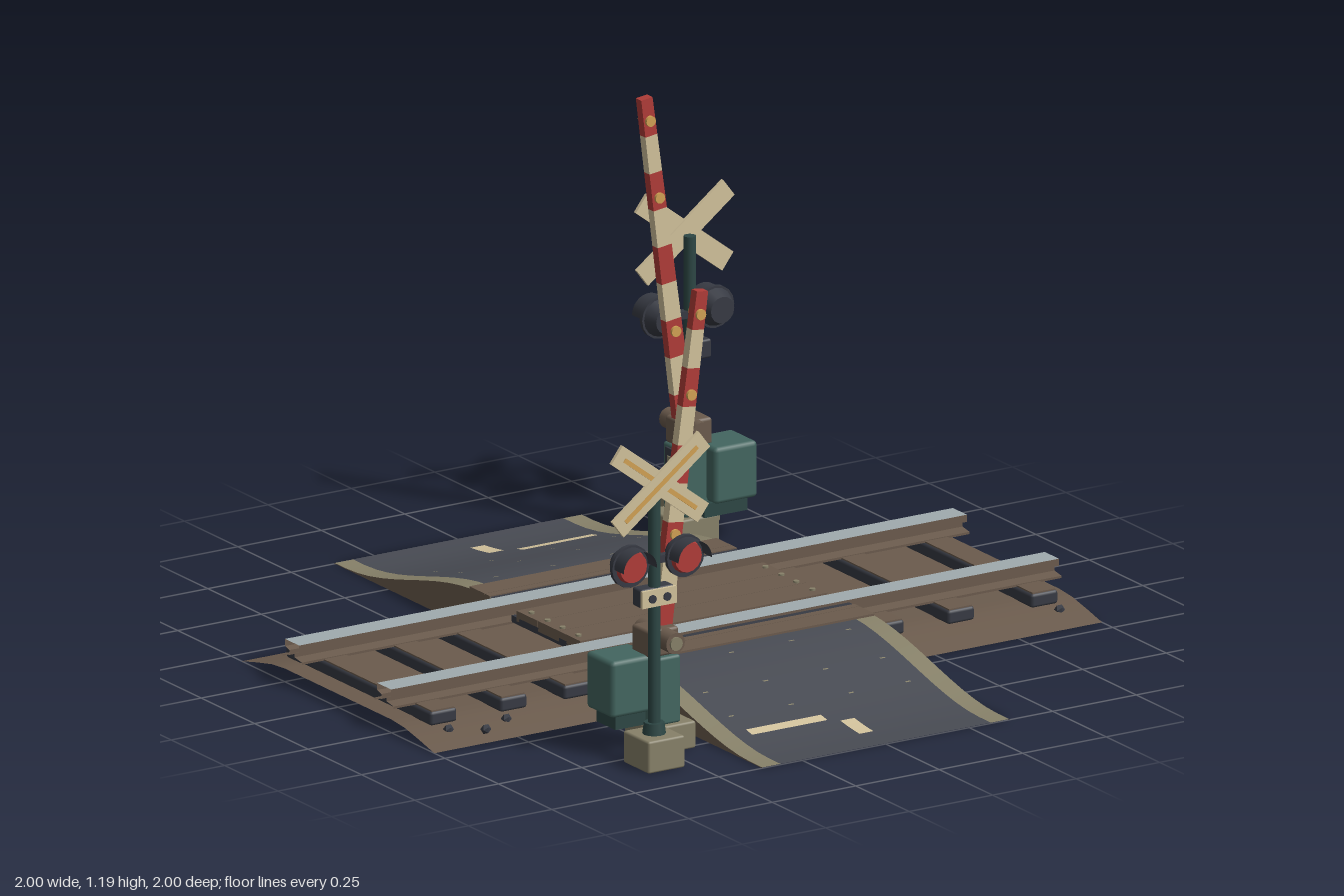
import * as THREE from 'three';
import { RoundedBoxGeometry } from 'three/addons/geometries/RoundedBoxGeometry.js';

const mat = (name, color, side = THREE.FrontSide) => {
  const m = new THREE.MeshStandardMaterial({ color, side });
  m.name = name;
  return m;
};

export function createModel() {
  const D = THREE.DoubleSide;
  const earth = mat('earth brown', 0x6b5b4d, D);
  const asphalt = mat('asphalt', 0x484b53, D);
  const stone = mat('concrete', 0x878169, D);
  const steel = mat('rail steel', 0xa0abae, D);
  const dark = mat('dark metal', 0x373a43, D);
  const cream = mat('cream paint', 0xd2c29c, D);
  const red = mat('signal red', 0xb03c38);
  const green = mat('cabinet green', 0x436660);
  const pole = mat('mast green', 0x2d4745);
  const amber = mat('amber', 0xd2a254);

  const model = new THREE.Group();
  model.name = 'levelCrossing';

  const add = (parent, name, geo, material, x = 0, y = 0, z = 0) => {
    const m = new THREE.Mesh(geo, material);
    m.name = name;
    m.position.set(x, y, z);
    parent.add(m);
    return m;
  };
  // Box given by its lower and upper corners
  const block = (parent, name, material, a, b, radius = 0) => {
    const s = b.map((v, i) => v - a[i]);
    const geo = radius ? new RoundedBoxGeometry(...s, 1, radius) : new THREE.BoxGeometry(...s);
    return add(parent, name, geo, material, ...a.map((v, i) => (v + b[i]) / 2));
  };
  // Cylinder lying along z, wide end set by r0 at the back and r1 at the front
  const rod = (parent, name, material, x, y, z0, z1, r0, r1 = r0, sides = 16) =>
    add(parent, name, new THREE.CylinderGeometry(r1, r0, z1 - z0, sides).rotateX(Math.PI / 2), material, x, y, (z0 + z1) / 2);
  // Open sheet: a [z, y] profile swept along x
  const sheet = (parent, name, material, pts, x0, x1, flat = false) => {
    let geo = new THREE.PlaneGeometry(1, 1, 1, pts.length - 1);
    const p = geo.attributes.position;
    pts.forEach(([z, y], i) => {
      p.setXYZ(i * 2, x0, y, z);
      p.setXYZ(i * 2 + 1, x1, y, z);
    });
    if (flat) geo = geo.toNonIndexed();
    geo.computeVertexNormals();
    return add(parent, name, geo, material);
  };

  // Track bed
  sheet(model, 'trackBed', earth,
    [[-0.45, 0], [-0.38, 0.016], [-0.31, 0.03], [-0.25, 0.035], [0.25, 0.035], [0.31, 0.03], [0.38, 0.016], [0.45, 0]], -1, 1);

  // Sleepers with weathered tops
  for (const x of [-0.9, -0.69, -0.5, 0.44, 0.65, 0.9]) {
    block(model, 'sleeper', dark, [x - 0.04, 0.03, -0.34], [x + 0.04, 0.067, 0.34], 0.008);
    block(model, 'sleeperTop', earth, [x - 0.034, 0.066, -0.334], [x + 0.034, 0.07, 0.334]);
  }

  // Rails
  for (const z of [-0.215, 0.215]) {
    const half = [[0.033, 0.114], [0.033, 0.095], [0.012, 0.09], [0.012, 0.077], [0.045, 0.072], [0.045, 0.066]];
    sheet(model, 'railSide', earth, half.map(([w, y]) => [z + w, y]), -1, 1, true);
    sheet(model, 'railSide', earth, half.map(([w, y]) => [z - w, y]).reverse(), -1, 1, true);
    sheet(model, 'railHead', steel, [[z - 0.033, 0.114], [z + 0.033, 0.114]], -1, 1);
  }

  // Crossing deck between the rails
  block(model, 'deckEdge', dark, [-0.37, 0.07, -0.172], [0.37, 0.088, 0.172]);
  for (let i = 0; i < 3; i++) {
    const z = -0.15 + i * 0.1;
    block(model, 'deckPlank', earth, [-0.37, 0.078, z], [0.37, 0.106, z + 0.0985]);
  }
  for (const x of [-0.35, 0.35]) for (const z of [-0.11, -0.035, 0.035, 0.11])
    add(model, 'deckBolt', new THREE.CylinderGeometry(0.008, 0.008, 0.006, 8), stone, x, 0.108, z);

  // Loose stones
  for (const [x, z] of [[-0.62, -0.4], [-0.59, -0.375], [0.53, -0.39], [0.72, -0.39], [-0.9, 0.36], [-0.82, 0.41], [-0.73, 0.365], [-0.44, 0.37], [0.93, 0.36]])
    add(model, 'looseStone', new THREE.IcosahedronGeometry(0.014, 0), dark, x, 0.022, z);

  // Road height along z, and a strip of road surface
  const roadY = (z) => 0.002 + 0.105 * (1 - THREE.MathUtils.smoothstep(z, 0.33, 0.95));
  const strip = (z0, z1, lift = 0, n = 14) => Array.from({ length: n + 1 }, (_, i) => {
    const z = z0 + (z1 - z0) * i / n;
    return [z, roadY(z) + lift];
  });

  const buildSide = () => {
    const side = new THREE.Group();
    side.name = 'crossingSide';

    // Approach road
    sheet(side, 'roadSurface', asphalt, strip(0.25, 1), -0.315, 0.315);
    for (const s of [-1, 1]) {
      sheet(side, 'roadShoulder', stone, strip(0.25, 1), Math.min(s * 0.315, s * 0.37), Math.max(s * 0.315, s * 0.37));
      const shape = new THREE.Shape([[0.25, 0], ...strip(0.25, 1), [1, 0]].map(([z, y]) => new THREE.Vector2(-z, y)));
      add(side, 'roadSkirt', new THREE.ShapeGeometry(shape).rotateY(Math.PI / 2), earth, s * 0.37);
    }
    sheet(side, 'approachGap', dark, [[0.25, 0.108], [0.275, 0.108]], -0.37, 0.37);
    for (const z of [0.275, 0.3])
      block(side, 'approachPlank', earth, [-0.37, 0.1, z], [0.37, 0.111, z === 0.3 ? 0.37 : 0.298]);

    // Road paint and small surface studs
    sheet(side, 'stopLine', cream, strip(0.775, 0.805, 0.003, 2), -0.275, -0.05);
    sheet(side, 'centreLine', cream, strip(0.82, 0.91, 0.003, 4), -0.021, 0.021);
    for (const z of [0.42, 0.58, 0.7]) for (const x of [-0.28, -0.1, 0.08, 0.25])
      sheet(side, 'roadStud', stone, strip(z, z + 0.005, 0.002, 1), x, x + 0.015);

    // Signal mast
    const mx = -0.585, mz = 0.83;
    block(side, 'mastFooting', stone, [-0.64, 0, 0.77], [-0.53, 0.085, 0.89], 0.006);
    add(side, 'mast', new THREE.CylinderGeometry(0.016, 0.016, 0.67, 12), pole, mx, 0.415, mz);
    add(side, 'mastCollar', new THREE.CylinderGeometry(0.026, 0.03, 0.03, 12), pole, mx, 0.1, mz);

    // Crossed warning boards
    [-0.65, 0.65].forEach((angle, i) => {
      const board = new THREE.Group();
      board.name = 'warningBoard';
      board.position.set(mx, 0.752, 0.854 + i * 0.005);
      board.rotation.z = angle;
      add(board, 'boardPlate', new THREE.BoxGeometry(0.325, 0.056, 0.01), cream);
      add(board, 'boardStripe', new THREE.BoxGeometry(0.27, 0.012, 0.002), amber, 0, 0, 0.006);
      side.add(board);
    });

    // Twin warning lamps
    block(side, 'lampBracket', dark, [mx - 0.07, 0.535, 0.82], [mx + 0.07, 0.555, 0.84]);
    for (const s of [-1, 1]) {
      const x = mx + s * 0.082, y = 0.545;
      rod(side, 'lampHousing', dark, x, y, 0.805, 0.838, 0.035, 0.05);
      rod(side, 'lampBackplate', dark, x, y, 0.838, 0.85, 0.056);
      rod(side, 'lampLens', red, x, y, 0.85, 0.863, 0.044, 0.04);
      const hood = new THREE.CylinderGeometry(0.05, 0.05, 0.045, 16, 1, true, Math.PI / 2, Math.PI).rotateX(Math.PI / 2);
      add(side, 'lampHood', hood, dark, x, y, 0.872);
    }

    // Bell box
    block(side, 'bellBox', dark, [mx - 0.05, 0.425, 0.805], [mx + 0.05, 0.475, 0.848], 0.006);
    block(side, 'bellPanel', cream, [mx - 0.052, 0.428, 0.848], [mx + 0.052, 0.473, 0.856]);
    for (const s of [-1, 1]) rod(side, 'bellPort', dark, mx + s * 0.022, 0.45, 0.856, 0.86, 0.011);

    // Gate machine and equipment cabinet
    block(side, 'gateFooting', stone, [-0.55, 0, 0.635], [-0.42, 0.072, 0.77], 0.006);
    block(side, 'cabinet', green, [-0.65, 0.105, 0.61], [-0.52, 0.255, 0.735], 0.012);
    block(side, 'cabinetMount', pole, [-0.63, 0.07, 0.63], [-0.5, 0.106, 0.72]);
    block(side, 'gatePost', green, [-0.54, 0.07, 0.65], [-0.455, 0.25, 0.755], 0.008);
    block(side, 'postDoor', dark, [-0.456, 0.14, 0.675], [-0.45, 0.24, 0.735]);
    block(side, 'postDoorPanel', stone, [-0.451, 0.155, 0.688], [-0.447, 0.22, 0.722]);
    block(side, 'gateHead', earth, [-0.545, 0.25, 0.66], [-0.455, 0.322, 0.745], 0.008);
    rod(side, 'gatePivot', earth, -0.495, 0.295, 0.635, 0.79, 0.028);
    rod(side, 'pivotCap', stone, -0.495, 0.295, 0.79, 0.796, 0.018);

    // Raised striped barrier arm
    const arm = new THREE.Group();
    arm.name = 'barrierArm';
    arm.position.set(-0.488, 0.29, 0.705);
    arm.rotation.z = -0.133;
    const length = 0.905, n = 9, half = (t) => 0.026 - 0.009 * t;
    for (let i = 0; i < n; i++) {
      const a = half(i / n), b = half((i + 1) / n), h = length / n;
      const geo = new THREE.BoxGeometry(1, h, 0.026);
      const p = geo.attributes.position;
      for (let k = 0; k < p.count; k++) p.setX(k, 2 * p.getX(k) * (p.getY(k) > 0 ? b : a));
      geo.computeVertexNormals();
      add(arm, 'armStripe', geo, i % 2 ? cream : red, 0, (i + 0.5) * h);
    }
    for (const y of [0.27, 0.635, 0.845]) {
      rod(arm, 'armLamp', amber, 0, y, 0.013, 0.021, 0.014);
      rod(arm, 'armLamp', amber, 0, y, -0.021, -0.013, 0.014);
    }
    side.add(arm);
    return side;
  };

  // Two sides, turned half round from each other
  const front = buildSide();
  const back = buildSide();
  back.rotation.y = Math.PI;
  model.add(front, back);
  return model;
}
